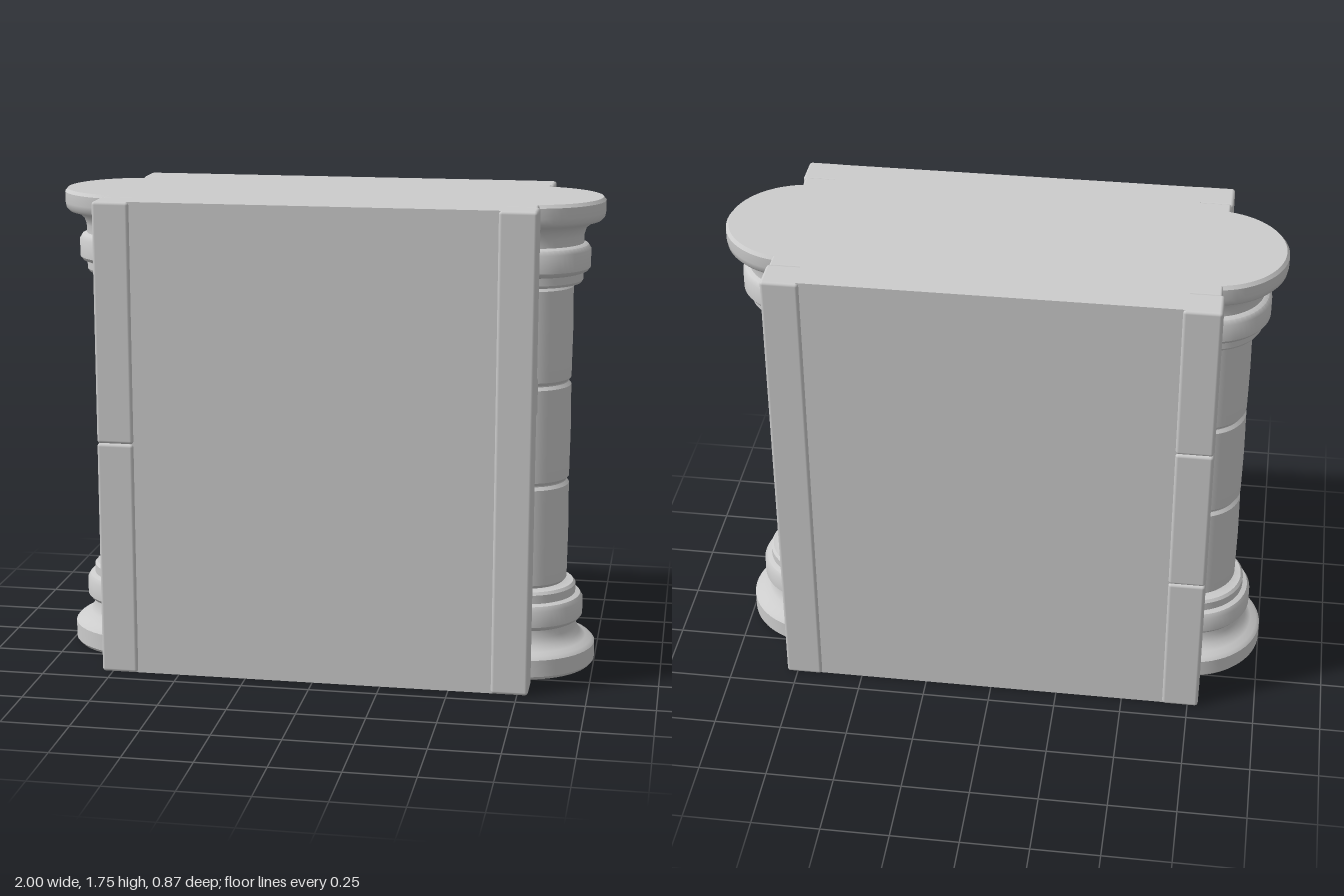
import * as THREE from 'three';
import { toCreasedNormals } from 'three/addons/utils/BufferGeometryUtils.js';
import { RoundedBoxGeometry } from 'three/addons/geometries/RoundedBoxGeometry.js';

const HEIGHT = 1.75;
const material = new THREE.MeshStandardMaterial({ color: 0xcccccc });

function add(parent, name, geometry, x = 0, y = 0, z = 0) {
  const mesh = new THREE.Mesh(geometry, material);
  mesh.name = name;
  mesh.position.set(x, y, z);
  parent.add(mesh);
  return mesh;
}

// Column outline as [radius, height], from the base up
function columnProfile() {
  const base = [
    [0, 0], [0.26, 0], [0.27, 0.012], [0.27, 0.075], [0.258, 0.088], [0.235, 0.095],
    [0.212, 0.115], [0.2, 0.14], [0.198, 0.165], [0.212, 0.172], [0.222, 0.185],
    [0.222, 0.245], [0.212, 0.262], [0.194, 0.268], [0.194, 0.3], [0.185, 0.31], [0.155, 0.312],
  ];
  // Three drums with narrow grooves between them
  const joints = [0.312, 0.702, 1.075, 1.438];
  const drums = [];
  for (let i = 0; i < 3; i++) {
    const low = joints[i], high = joints[i + 1];
    drums.push([0.15, low + 0.002], [0.16, low + 0.014], [0.162, (low + high) / 2],
      [0.16, high - 0.014], [0.15, high - 0.002]);
  }
  const capital = [
    [0.155, 1.438], [0.187, 1.44], [0.194, 1.45], [0.194, 1.478], [0.21, 1.484],
    [0.22, 1.497], [0.22, 1.562], [0.21, 1.578], [0.194, 1.585], [0.194, 1.615],
    [0.202, 1.64], [0.225, 1.66], [0.255, 1.668], [0.266, 1.68],
    [0.27, 1.7], [0.27, 1.738], [0.26, HEIGHT], [0, HEIGHT],
  ];
  return [...base, ...drums, ...capital].map(([r, y]) => new THREE.Vector2(r, y));
}

// Corner post stacked from blocks, divided at the given seam heights
function addPost(parent, name, x, z, seams) {
  const post = new THREE.Group();
  post.name = name;
  const levels = [0, ...seams, HEIGHT];
  for (let i = 0; i < levels.length - 1; i++) {
    const h = levels[i + 1] - levels[i];
    add(post, 'postBlock', new RoundedBoxGeometry(0.135, h, 0.125, 2, 0.012),
      x, levels[i] + h / 2, z);
  }
  parent.add(post);
}

export function createModel() {
  const model = new THREE.Group();
  model.name = 'wallSegment';

  add(model, 'wallBody', new THREE.BoxGeometry(1.34, HEIGHT, 0.85), 0, HEIGHT / 2, 0);

  const columnGeometry = toCreasedNormals(
    new THREE.LatheGeometry(columnProfile(), 40, -0.13 * Math.PI, 1.26 * Math.PI), 0.6);

  // Each end has a column in front of a recess crossed by three bars
  for (const side of [1, -1]) {
    const end = new THREE.Group();
    end.name = side > 0 ? 'leftEnd' : 'rightEnd';
    end.rotation.y = side > 0 ? 0 : Math.PI;
    add(end, 'column', columnGeometry, 0.73, 0, 0);
    for (const [name, low, high] of [
      ['bottomBar', 0, 0.15], ['middleBar', 0.975, 1.115], ['topBar', 1.605, HEIGHT],
    ]) {
      add(end, name, new RoundedBoxGeometry(0.12, high - low, 0.63, 2, 0.008),
        0.72, (low + high) / 2, 0);
    }
    model.add(end);
  }

  // Corner posts
  addPost(model, 'frontLeftPost', 0.722, 0.373, []);
  addPost(model, 'backLeftPost', 0.722, -0.373, []);
  addPost(model, 'frontRightPost', -0.722, 0.373, [0.87]);
  addPost(model, 'backRightPost', -0.722, -0.373, [0.58, 1.16]);

  return model;
}
